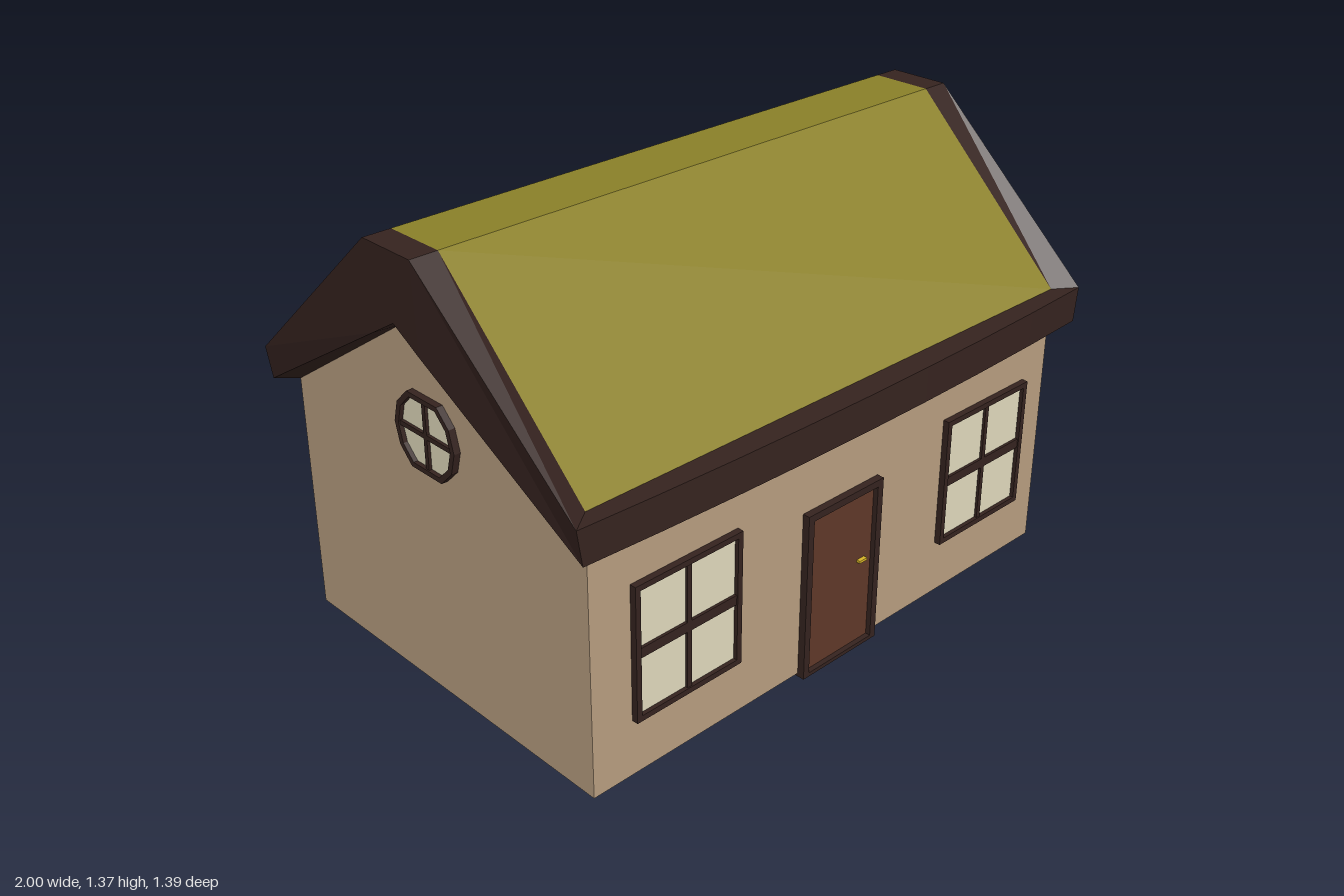
import * as THREE from 'three';

const mat = (color) => new THREE.MeshStandardMaterial({ color, flatShading: true });
const wallMat = mat(0xb79d80), trimMat = mat(0x35231f), roofMat = mat(0x8a8028);
const glassMat = mat(0xe0d9bc), doorMat = mat(0x5f3829), brassMat = mat(0xd8b428);

function add(parent, name, geometry, material, x = 0, y = 0, z = 0) {
  const m = new THREE.Mesh(geometry, material);
  m.name = name;
  m.position.set(x, y, z);
  parent.add(m);
  return m;
}

function box(parent, name, material, w, h, d, x, y, z) {
  return add(parent, name, new THREE.BoxGeometry(w, h, d), material, x, y, z);
}

// Skins a row of open cross-sections with quads
function loft(sections, flip = false) {
  const pos = [];
  for (let i = 0; i < sections.length - 1; i++) {
    const a = sections[i], b = sections[i + 1];
    for (let j = 0; j < a.length - 1; j++) {
      const q = [a[j], a[j + 1], b[j + 1], b[j]];
      if (flip) q.reverse();
      for (const k of [0, 1, 2, 0, 2, 3]) pos.push(...q[k]);
    }
  }
  const g = new THREE.BufferGeometry();
  g.setAttribute('position', new THREE.Float32BufferAttribute(pos, 3));
  g.computeVertexNormals();
  return g;
}

const polygon = (pts) => new THREE.Shape(pts.map(([x, y]) => new THREE.Vector2(x, y)));
const rect = (w, h) => [[-w / 2, -h / 2], [w / 2, -h / 2], [w / 2, h / 2], [-w / 2, h / 2]];

function extrude(outer, depth, hole) {
  const s = polygon(outer);
  if (hole) s.holes.push(polygon(hole));
  return new THREE.ExtrudeGeometry(s, { depth, bevelEnabled: false });
}

// Four-pane window, wall plane at z = 0, facing +z
function squareWindow() {
  const g = new THREE.Group(), w = 0.375, h = 0.415;
  g.name = 'window';
  add(g, 'windowFrame', extrude(rect(w, h), 0.03, rect(w - 0.034, h - 0.034)), trimMat, 0, 0, -0.01);
  box(g, 'windowGlass', glassMat, w - 0.03, h - 0.03, 0.015, 0, 0, 0);
  box(g, 'verticalBar', trimMat, 0.015, h - 0.03, 0.024, 0, 0, 0.004);
  box(g, 'horizontalBar', trimMat, w - 0.03, 0.03, 0.024, 0, 0, 0.004);
  return g;
}

// Round gable window with flattened top and bottom
function roundWindow() {
  const g = new THREE.Group();
  g.name = 'roundWindow';
  const ring = (r) => [0, 30, 60, 120, 150, 180, 210, 240, 300, 330].map((d) => {
    const a = THREE.MathUtils.degToRad(d);
    return [r * Math.cos(a), r * Math.sin(a)];
  });
  add(g, 'roundFrame', extrude(ring(0.128), 0.03, ring(0.111)), trimMat, 0, 0, -0.01);
  add(g, 'roundGlass', extrude(ring(0.114), 0.015), glassMat, 0, 0, -0.008);
  box(g, 'roundVerticalBar', trimMat, 0.014, 0.2, 0.024, 0, 0, 0.004);
  box(g, 'roundHorizontalBar', trimMat, 0.22, 0.014, 0.024, 0, 0, 0.004);
  return g;
}

const HX = 0.915, HZ = 0.615, EAVE = 0.76, FASCIA = 0.865, APEX = 1.165, RIDGE = 1.365, RZ = 0.097;

// Sections of the gable trim from front eave to back eave:
// inner top, outer top, outer bottom, inner bottom
function rakeSections(s) {
  const eave = (k) => [[s * HX, FASCIA, k * HZ], [s * 0.985, FASCIA, k * 0.665],
    [s * 0.97, EAVE, k * 0.667], [s * HX, EAVE, k * HZ]];
  const ridge = (k) => [[s * HX, RIDGE, k * RZ], [s, RIDGE, k * RZ],
    [s * 0.993, 1.106, k * RZ], [s * HX, 1.101, k * RZ]];
  const centre = [[s * HX, RIDGE, 0], [s, RIDGE, 0], [s * 0.995, APEX, 0], [s * HX, APEX, 0]];
  return [eave(1), ridge(1), centre, ridge(-1), eave(-1)];
}

// Sections of the slightly bowed eave board, from one end to the other
function fasciaSections(k) {
  const out = [], n = 8;
  for (let i = 0; i <= n; i++) {
    const t = -1 + (2 * i) / n, bow = 0.028 * (1 - t * t);
    out.push([[t * HX, FASCIA, k * HZ], [t * 0.985, FASCIA, k * (0.665 + bow)],
      [t * 0.97, EAVE, k * (0.667 + bow)], [t * HX, EAVE, k * HZ]]);
  }
  return out;
}

export function createModel() {
  const house = new THREE.Group();
  house.name = 'house';

  // Walls with gable ends
  const walls = extrude([[-HZ, 0.01], [HZ, 0.01], [HZ, EAVE], [0, APEX], [-HZ, EAVE]], 2 * HX);
  walls.translate(0, 0, -HX).rotateY(Math.PI / 2);
  add(house, 'walls', walls, wallMat);

  // Roof covering with flat ridge
  const slope = (x) => [[x, FASCIA, -HZ], [x, RIDGE, -RZ], [x, RIDGE, RZ], [x, FASCIA, HZ]];
  add(house, 'roof', loft([slope(-HX), slope(HX)]), roofMat);

  // Gable trim; the top of its rear slope has the wall colour
  for (const s of [1, -1]) {
    const sec = rakeSections(s), flip = s < 0;
    const cut = (list, from, to) => list.map((p) => p.slice(from, to));
    add(house, 'gableTrim', loft(cut(sec, 1, 4), flip), trimMat);
    add(house, 'gableTrimTop', loft(cut(sec.slice(0, 4), 0, 2), flip), trimMat);
    add(house, 'rearGableTrimTop', loft(cut(sec.slice(3), 0, 2), flip), wallMat);
  }

  // Eave boards
  for (const k of [1, -1]) add(house, 'eaveBoard', loft(fasciaSections(k), k < 0), trimMat);

  // Windows in the front, back and gables
  for (const k of [1, -1]) {
    for (const x of [-0.593, 0.623]) {
      const w = squareWindow();
      w.position.set(x, 0.3925, k * HZ);
      if (k < 0) w.rotation.y = Math.PI;
      house.add(w);
    }
    const r = roundWindow();
    r.position.set(k * HX, 0.825, 0.005);
    r.rotation.y = (k * Math.PI) / 2;
    house.add(r);
  }

  // Door
  const door = new THREE.Group();
  door.name = 'door';
  door.position.x = -0.003;
  for (const s of [1, -1]) box(door, 'doorPost', trimMat, 0.022, 0.535, 0.143, s * 0.1415, 0.2675, 0.5665);
  box(door, 'doorLintel', trimMat, 0.305, 0.022, 0.143, 0, 0.524, 0.5665);
  box(door, 'doorSill', trimMat, 0.27, 0.012, 0.143, 0, 0.006, 0.5665);
  box(door, 'doorPanel', doorMat, 0.27, 0.505, 0.1, 0, 0.2625, 0.572);
  box(door, 'doorHandle', brassMat, 0.03, 0.008, 0.012, 0.088, 0.287, 0.628);
  house.add(door);

  return house;
}
